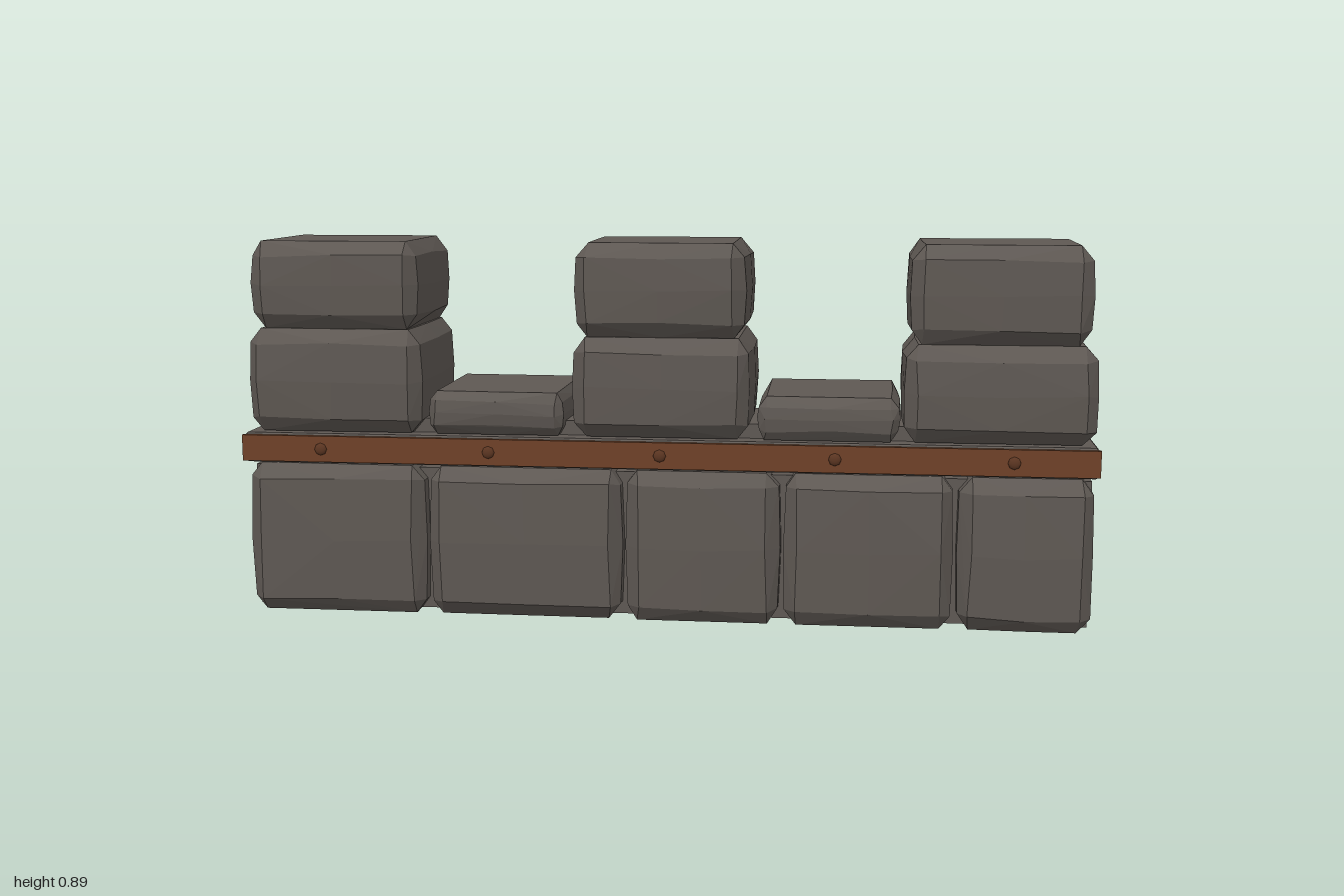
import * as THREE from 'three';
import { ConvexGeometry } from 'three/addons/geometries/ConvexGeometry.js';

const mat = (name, color) => {
  const m = new THREE.MeshStandardMaterial({ color });
  m.name = name;
  return m;
};

// Small seeded generator for the hewn irregularity, range -1..1
let seed = 7;
const rnd = () => {
  seed = (seed * 16807) % 2147483647;
  return (seed / 2147483647) * 2 - 1;
};

// Chamfered block between two corners; face middles bulge and points wobble a little
function hewnBlock([x0, x1], [y0, y1], [z0, z1], c, bulge, wobble) {
  const h = [(x1 - x0) / 2, (y1 - y0) / 2, (z1 - z0) / 2];
  const mid = [(x0 + x1) / 2, (y0 + y1) / 2, (z0 + z1) / 2];
  const pts = [];
  for (let a = 0; a < 3; a++) {
    const b = (a + 1) % 3, d = (a + 2) % 3;
    for (const s of [-1, 1]) for (let i = -1; i <= 1; i++) for (let j = -1; j <= 1; j++) {
      if (bulge === 0 && (i === 0 || j === 0)) continue;
      const p = [0, 0, 0];
      // Tops and bottoms stay flat so that the courses stack
      const out = a === 1 ? 0 : bulge * ((i === 0) + (j === 0) - 2);
      p[a] = s * (h[a] + out);
      p[b] = i * (h[b] - c) + wobble * rnd();
      p[d] = j * (h[d] - c) + wobble * rnd();
      if (a !== 1) p[a] += wobble * 0.4 * rnd();
      pts.push(new THREE.Vector3(p[0] + mid[0], p[1] + mid[1], p[2] + mid[2]));
    }
  }
  return new ConvexGeometry(pts);
}

export function createModel() {
  const group = new THREE.Group();
  group.name = 'battlementWall';
  const stone = mat('stone', 0x5e5853);
  const copper = mat('copperBand', 0x6e4128);
  const rivetMat = mat('rivetCopper', 0x5c3622);

  const add = (name, geometry, material, x = 0, y = 0, z = 0) => {
    const m = new THREE.Mesh(geometry, material);
    m.name = name;
    m.position.set(x, y, z);
    group.add(m);
    return m;
  };
  const block = (name, x, y, z = [-0.19, 0.188], c = 0.034) =>
    add(name, hewnBlock(x, y, z, c, 0.004, 0.004), stone);

  // Mortar cores behind the joints
  add('lowerCore', new THREE.BoxGeometry(1.98, 0.345, 0.25), stone, 0, 0.178, 0);
  add('upperCore', new THREE.BoxGeometry(1.8, 0.04, 0.25), stone, 0, 0.45, 0);

  // Bottom course
  [[-1, -0.56], [-0.56, -0.088], [-0.088, 0.283], [0.283, 0.682], [0.682, 1]]
    .forEach((x) => block('baseBlock', x, [0, 0.36]));

  // Ledge slab
  add('ledge', hewnBlock([-1, 1], [0.365, 0.436], [-0.193, 0.18], 0.008, 0, 0), stone);

  // Merlons, two blocks each
  [
    [[-0.992, -0.563], [-0.98, -0.57], 0.684],
    [[-0.212, 0.21], [-0.207, 0.2], 0.672],
    [[0.553, 0.998], [0.563, 0.98], 0.664],
  ].forEach(([lower, upper, joint]) => {
    block('merlonLower', lower, [0.438, joint]);
    block('merlonUpper', upper, [joint, 0.89], [-0.184, 0.185]);
  });

  // Low caps in the gaps
  [[-0.558, -0.224], [0.22, 0.556]].forEach((x) =>
    block('gapCap', x, [0.438, 0.54], [-0.183, 0.178], 0.023));

  // Copper band with rivets along the front of the ledge
  add('band', new THREE.BoxGeometry(2, 0.062, 0.012), copper, 0, 0.401, 0.184);
  const rivet = new THREE.SphereGeometry(0.015, 8, 4, 0, Math.PI * 2, 0, Math.PI / 2)
    .rotateX(Math.PI / 2).scale(1, 1, 0.55);
  for (let i = -2; i <= 2; i++) add('rivet', rivet, rivetMat, i * 0.404, 0.401, 0.19);

  return group;
}
